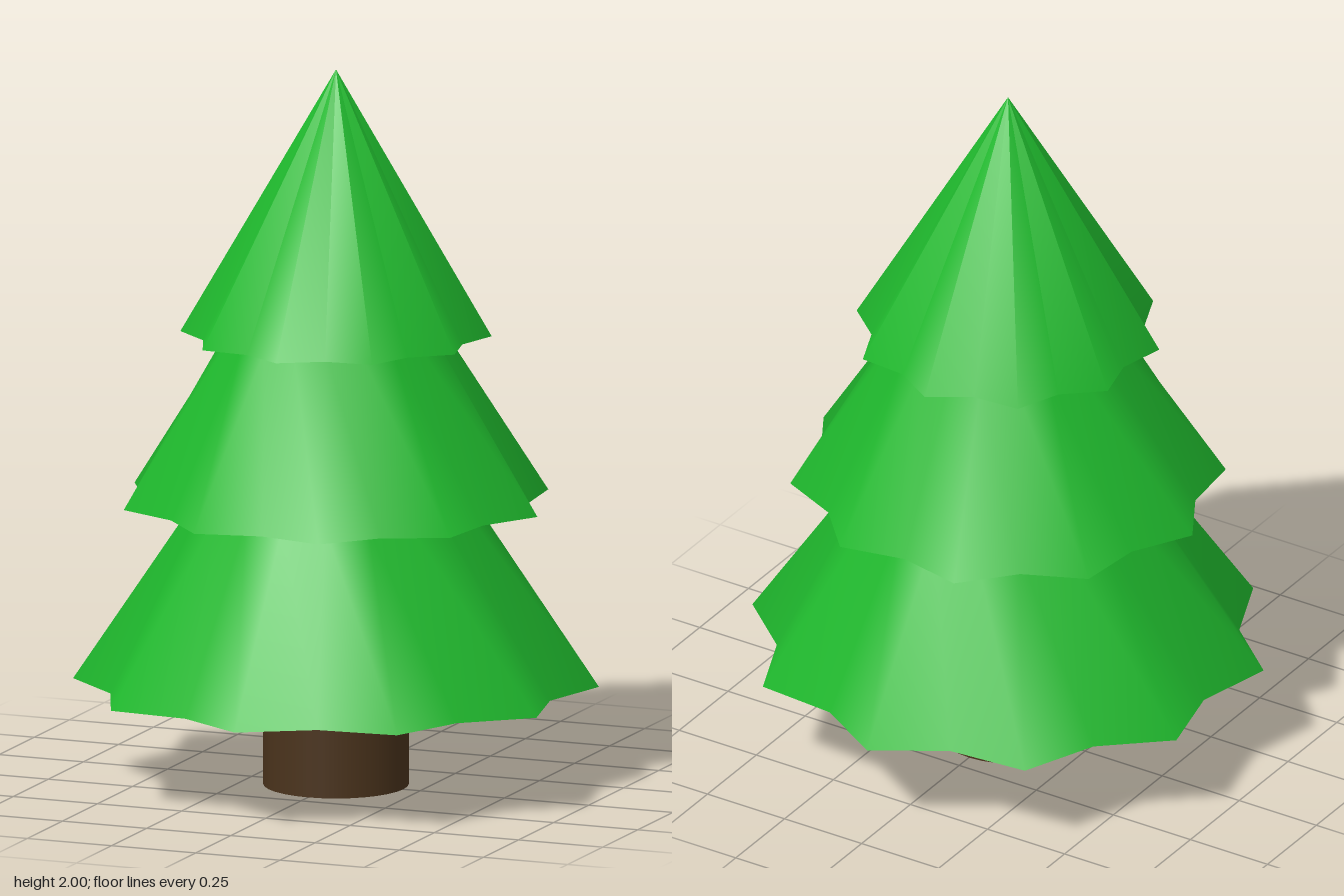
import * as THREE from 'three';
import { toCreasedNormals } from 'three/addons/utils/BufferGeometryUtils.js';

const POINTS = 10; // star points on the rim of each tier

// Foliage tier: star-shaped rim and flat underside, tapering to a round top
function tier(name, { y0, y1, outer, inner, top, odd }, material) {
  const profile = [
    new THREE.Vector2(0, y0),
    new THREE.Vector2(outer, y0),
    new THREE.Vector2(top, y1),
  ];
  const geometry = new THREE.LatheGeometry(profile, POINTS * 2);
  const pos = geometry.attributes.position;
  // Pull every second rim vertex inwards
  for (let i = 0; i < pos.count; i++) {
    const step = Math.floor(i / profile.length);
    if (i % profile.length === 1 && step % 2 === (odd ? 0 : 1)) {
      const k = inner / outer;
      pos.setXYZ(i, pos.getX(i) * k, y0, pos.getZ(i) * k);
    }
  }
  const mesh = new THREE.Mesh(toCreasedNormals(geometry, 1.2), material);
  mesh.name = name;
  return mesh;
}

export function createModel() {
  const tree = new THREE.Group();
  tree.name = 'pineTree';
  const green = new THREE.MeshStandardMaterial({ color: 0x1fb82d });
  const brown = new THREE.MeshStandardMaterial({ color: 0x4a331c });

  // Trunk
  const trunk = new THREE.Mesh(new THREE.CylinderGeometry(0.2, 0.2, 0.285, 32), brown);
  trunk.position.y = 0.1425;
  trunk.name = 'trunk';
  tree.add(trunk);

  // Three tiers, the middle one turned by half a point
  tree.add(
    tier('lowerFoliage', { y0: 0.283, y1: 0.797, outer: 0.723, inner: 0.635, top: 0.38 }, green),
    tier('middleFoliage', { y0: 0.795, y1: 1.262, outer: 0.598, inner: 0.53, top: 0.3, odd: true }, green),
    tier('upperFoliage', { y0: 1.26, y1: 2, outer: 0.428, inner: 0.375, top: 0 }, green),
  );
  return tree;
}
